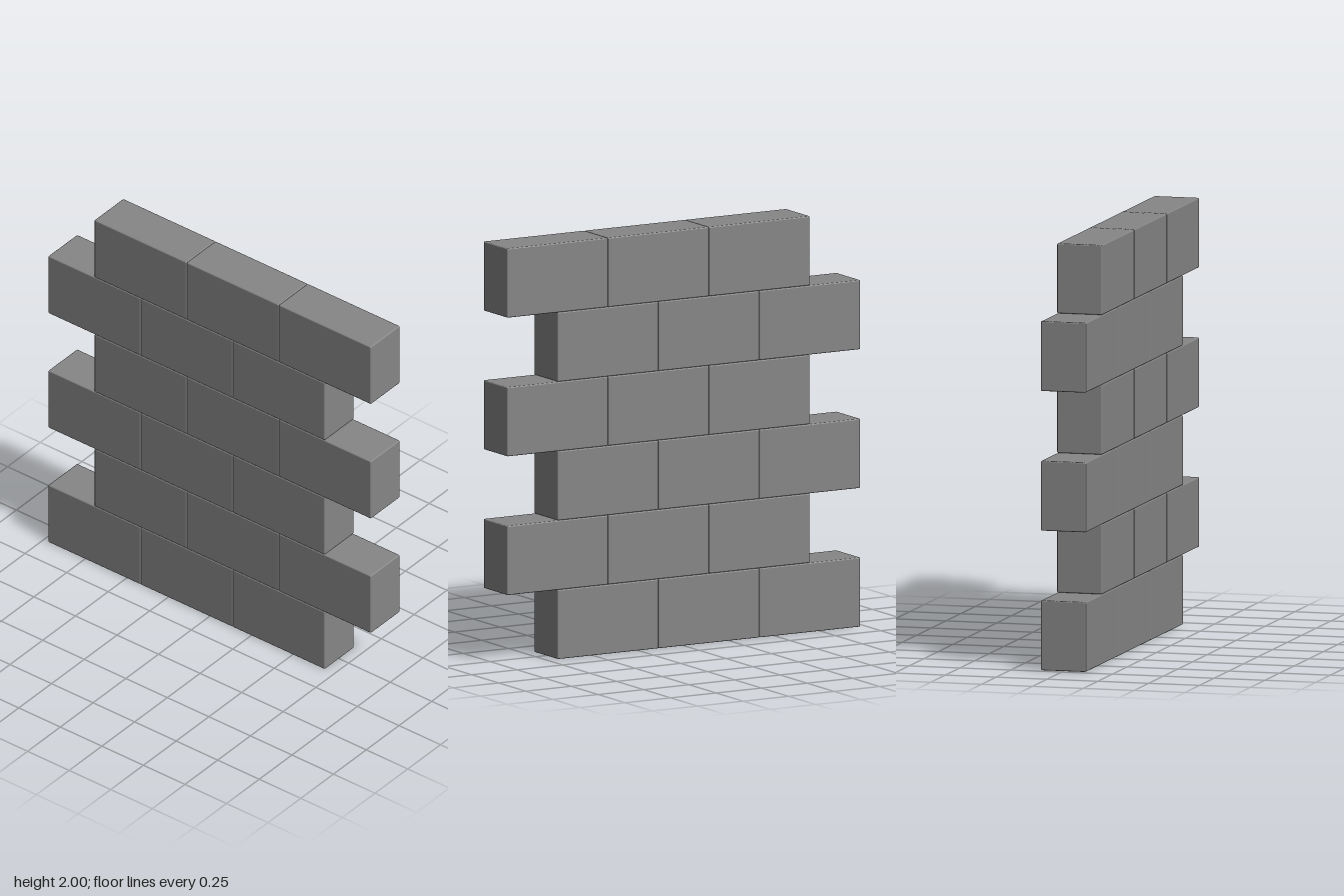
import * as THREE from 'three';
import { RoundedBoxGeometry } from 'three/addons/geometries/RoundedBoxGeometry.js';

const ROWS = 6, PER_ROW = 3;
const W = 0.555, H = 2 / ROWS, D = 0.222;

export function createModel() {
  const wall = new THREE.Group();
  wall.name = 'brickWall';
  const material = new THREE.MeshStandardMaterial({ color: 0x868686 });

  // One brick with slightly softened edges, shared by every course
  const brick = new RoundedBoxGeometry(W, H, D, 2, 0.006);

  // Running bond: alternate courses shift by half a brick
  for (let r = 0; r < ROWS; r++) {
    const course = new THREE.Group();
    course.name = `course${r + 1}`;
    course.position.set((r % 2 ? 1 : -1) * W / 4, (r + 0.5) * H, 0);
    for (let i = 0; i < PER_ROW; i++) {
      const mesh = new THREE.Mesh(brick, material);
      mesh.name = `brick${i + 1}`;
      mesh.position.x = (i - (PER_ROW - 1) / 2) * W;
      course.add(mesh);
    }
    wall.add(course);
  }
  return wall;
}
